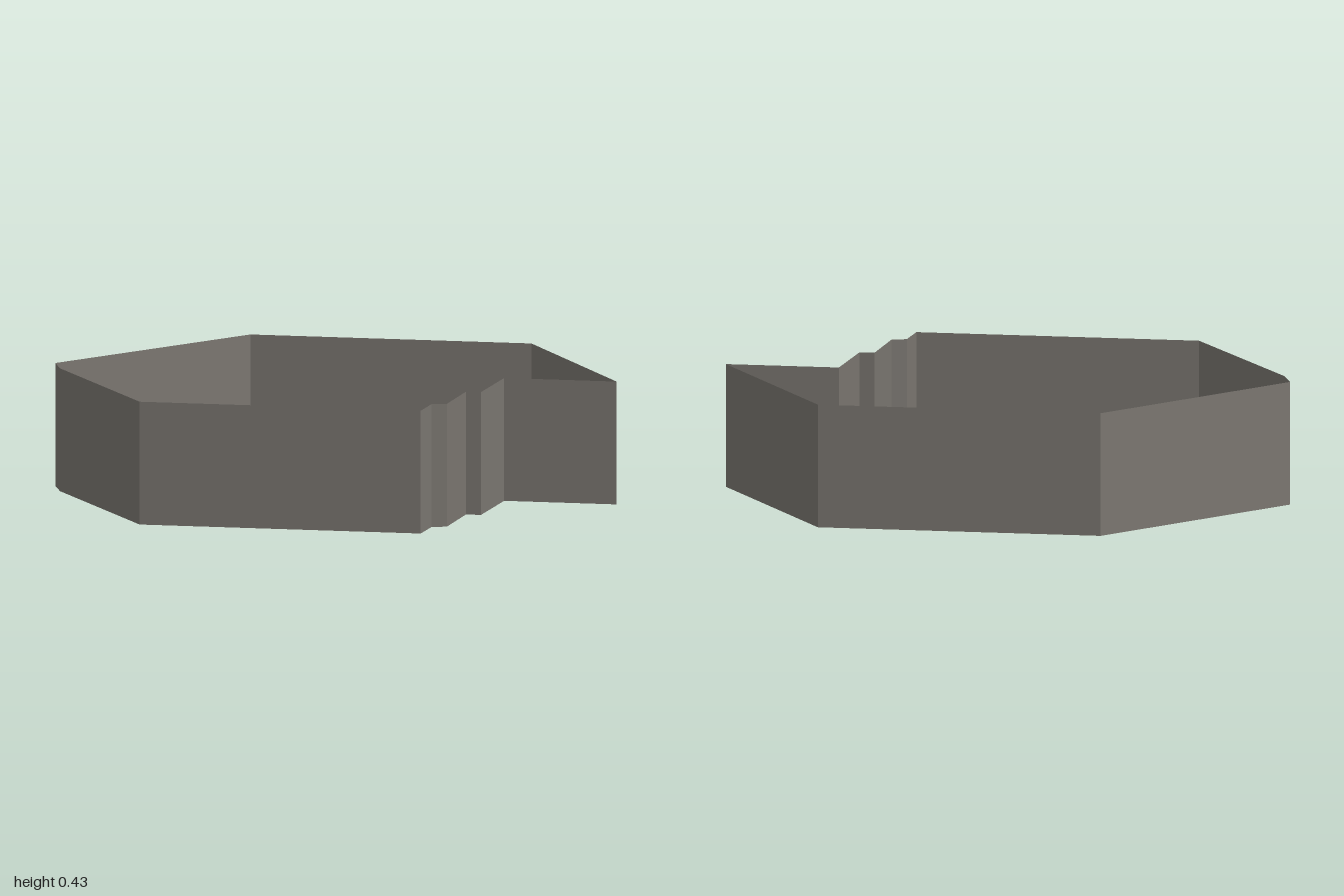
import * as THREE from 'three';

const HEIGHT = 0.43;

// Footprint of the wall: each entry is the start of a panel (x, z) and its name,
// running along the front from -x to +x and on around the loop.
const FOOTPRINT = [
  [-0.5, 0.857, 'frontPanel'],
  [0.5, 0.857, 'notchFrontSide'],
  [0.5, 0.69, 'notchBevel'],
  [0.55, 0.67, 'notchMiddleSide'],
  [0.547, 0.36, 'notchStep'],
  [0.6, 0.36, 'notchInnerSide'],
  [0.6, 0, 'notchBackWall'],
  [1, 0, 'backLeftPanel'],
  [0.5, -0.857, 'backPanel'],
  [-0.5, -0.857, 'backRightPanel'],
  [-1, -0.015, 'rightCornerPanel'],
  [-0.955, 0.11, 'frontRightPanel'],
];

export function createModel() {
  const model = new THREE.Group();
  model.name = 'hexagonalWall';

  const wallGrey = new THREE.MeshStandardMaterial({ color: 0x7a7670, side: THREE.DoubleSide });
  wallGrey.name = 'wallGrey';

  // One thin upright panel between each pair of neighbouring corners
  FOOTPRINT.forEach(([x, z, name], i) => {
    const [nextX, nextZ] = FOOTPRINT[(i + 1) % FOOTPRINT.length];
    const dx = nextX - x;
    const dz = nextZ - z;
    const panel = new THREE.Mesh(new THREE.PlaneGeometry(Math.hypot(dx, dz), HEIGHT), wallGrey);
    panel.name = name;
    panel.position.set((x + nextX) / 2, HEIGHT / 2, (z + nextZ) / 2);
    panel.rotation.y = Math.atan2(-dz, dx);
    model.add(panel);
  });

  return model;
}
